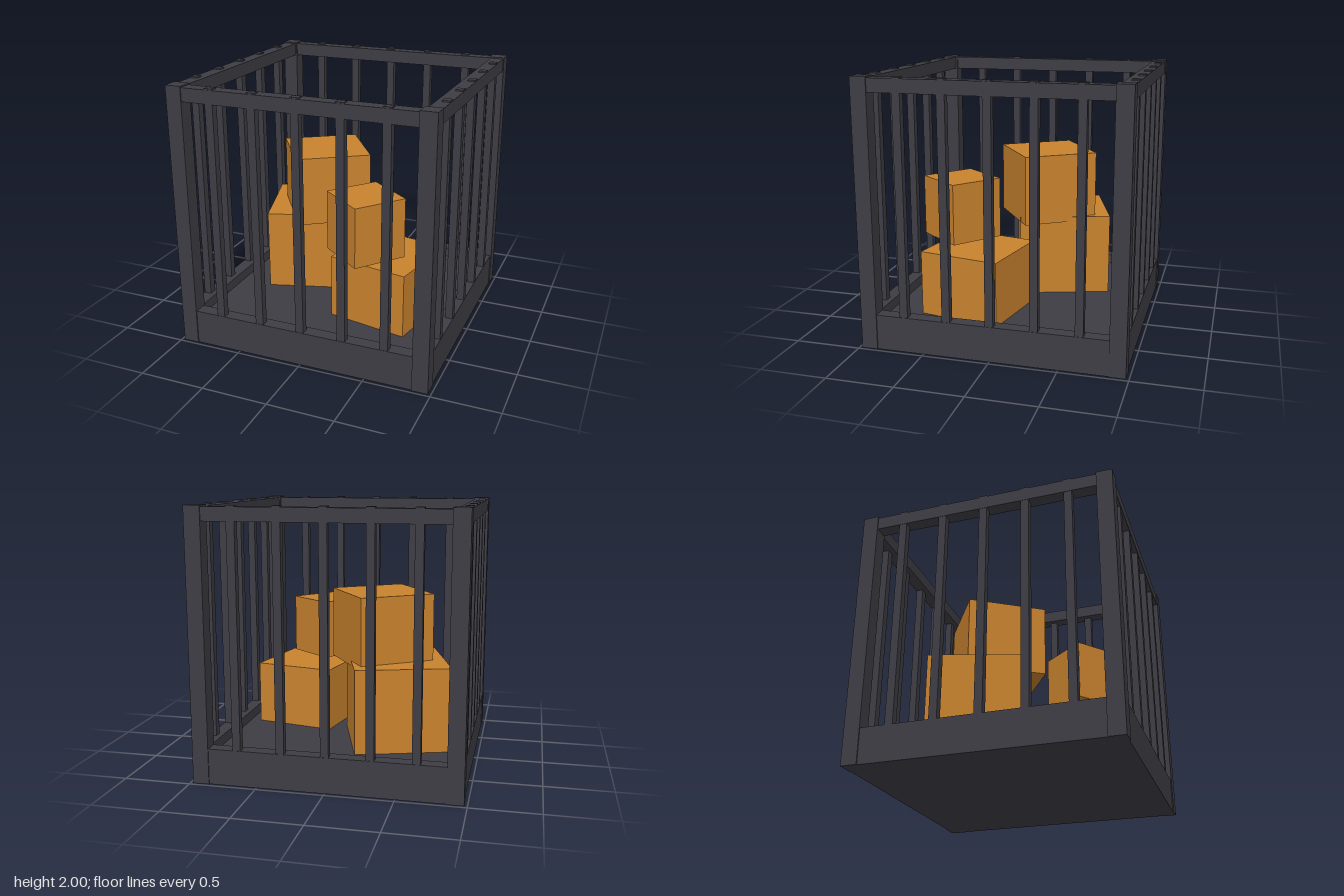
import * as THREE from 'three';

export function createModel() {
  const root = new THREE.Group();
  const iron = new THREE.MeshStandardMaterial({ color: 0x3e3d44 });
  iron.name = 'dark iron';
  const wood = new THREE.MeshStandardMaterial({ color: 0xc8822e });
  wood.name = 'orange crate';

  // Box given by its size, centre in x/z, bottom and top heights
  function block(name, mat, w, d, x, z, y0, y1, turn = 0, parent = root) {
    const mesh = new THREE.Mesh(new THREE.BoxGeometry(w, y1 - y0, d), mat);
    mesh.name = name;
    mesh.position.set(x, (y0 + y1) / 2, z);
    mesh.rotation.y = turn;
    parent.add(mesh);
    return mesh;
  }

  // Floor plate inside the base rim
  block('floor', iron, 1.74, 1.74, 0, 0, 0, 0.19);

  // Four corner posts
  for (const sx of [-1, 1]) {
    for (const sz of [-1, 1]) {
      block('cornerPost', iron, 0.12, 0.12, sx * 0.918, sz * 0.918, 0, 2);
    }
  }

  // Four equal sides: base rim, top rail and five bars
  ['front', 'left', 'back', 'right'].forEach((label, i) => {
    const side = new THREE.Group();
    side.name = label + 'Side';
    side.rotation.y = (i * Math.PI) / 2;
    block('baseRim', iron, 1.72, 0.1, 0, 0.92, 0, 0.265, 0, side);
    block('topRail', iron, 1.72, 0.1, 0, 0.92, 1.89, 1.99, 0, side);
    for (let k = -2; k <= 2; k++) {
      block('bar', iron, 0.06, 0.056, k * 0.323, 0.939, 0.2, 2, 0, side);
    }
    root.add(side);
  });

  // Two stacks of turned crates
  block('largeLowerCrate', wood, 0.71, 0.71, -0.383, -0.215, 0.19, 0.822, 0.3);
  block('largeUpperCrate', wood, 0.586, 0.586, -0.252, -0.128, 0.785, 1.327, 0.59);
  block('smallLowerCrate', wood, 0.63, 0.63, 0.42, 0.25, 0.19, 0.677, -0.195);
  block('smallUpperCrate', wood, 0.42, 0.42, 0.296, 0.42, 0.72, 1.18, -0.675);

  return root;
}
